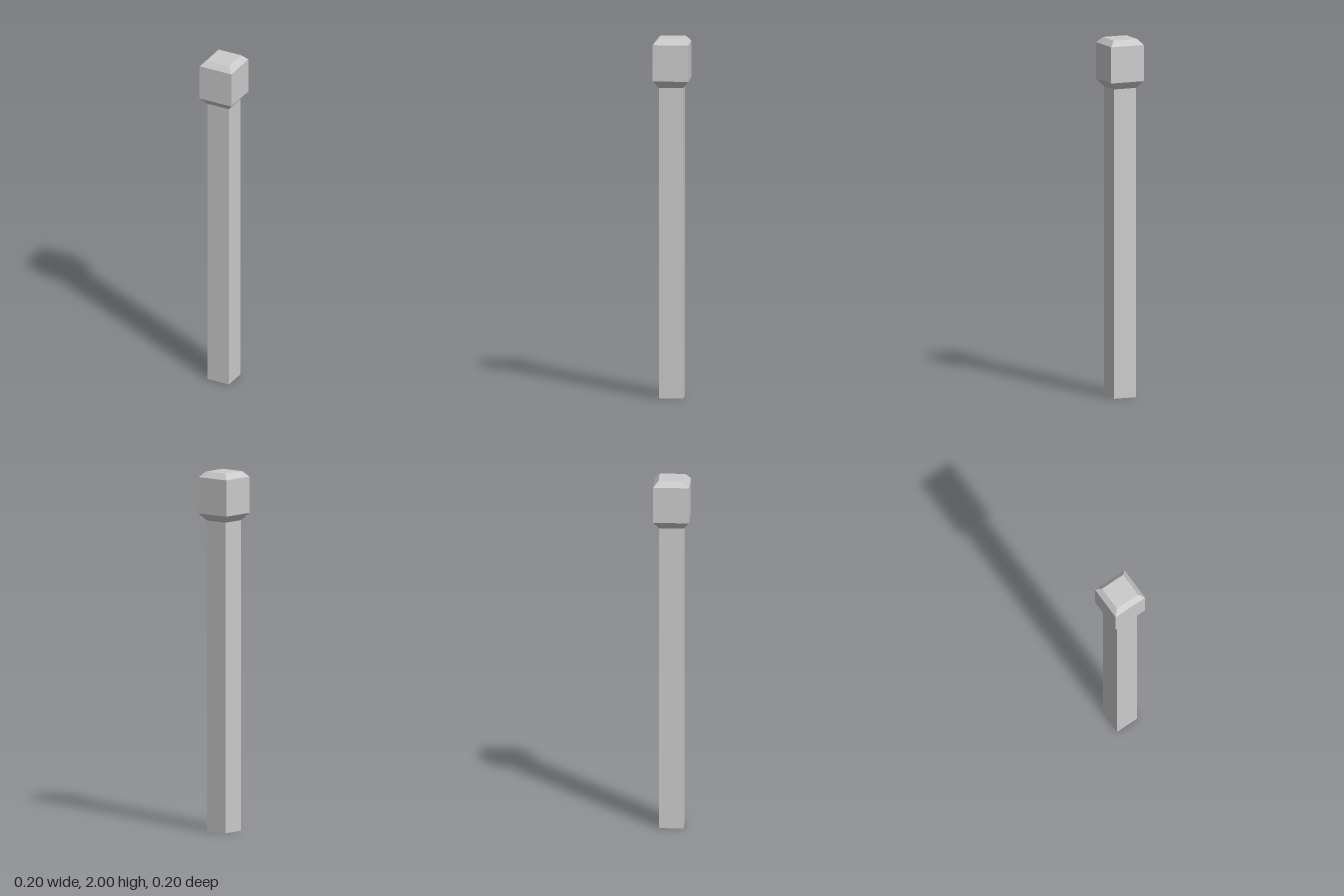
import * as THREE from 'three';

const material = new THREE.MeshStandardMaterial({ color: 0xcccccc, flatShading: true });

// Square column from [half width, height] pairs, listed bottom to top
function squareColumn(name, profile) {
  const points = profile.map(([half, y]) => new THREE.Vector2(half * Math.SQRT2, y));
  const mesh = new THREE.Mesh(new THREE.LatheGeometry(points, 4, Math.PI / 4), material);
  mesh.name = name;
  return mesh;
}

export function createModel() {
  const post = new THREE.Group();
  post.name = 'post';

  // Straight shaft, closed at the foot
  post.add(squareColumn('shaft', [[0, 0], [0.067, 0], [0.067, 1.727]]));

  // Head: flared underside, block and bevelled top
  post.add(squareColumn('head', [
    [0.067, 1.727], [0.099, 1.767], [0.099, 1.969], [0.071, 2], [0, 2],
  ]));

  return post;
}
